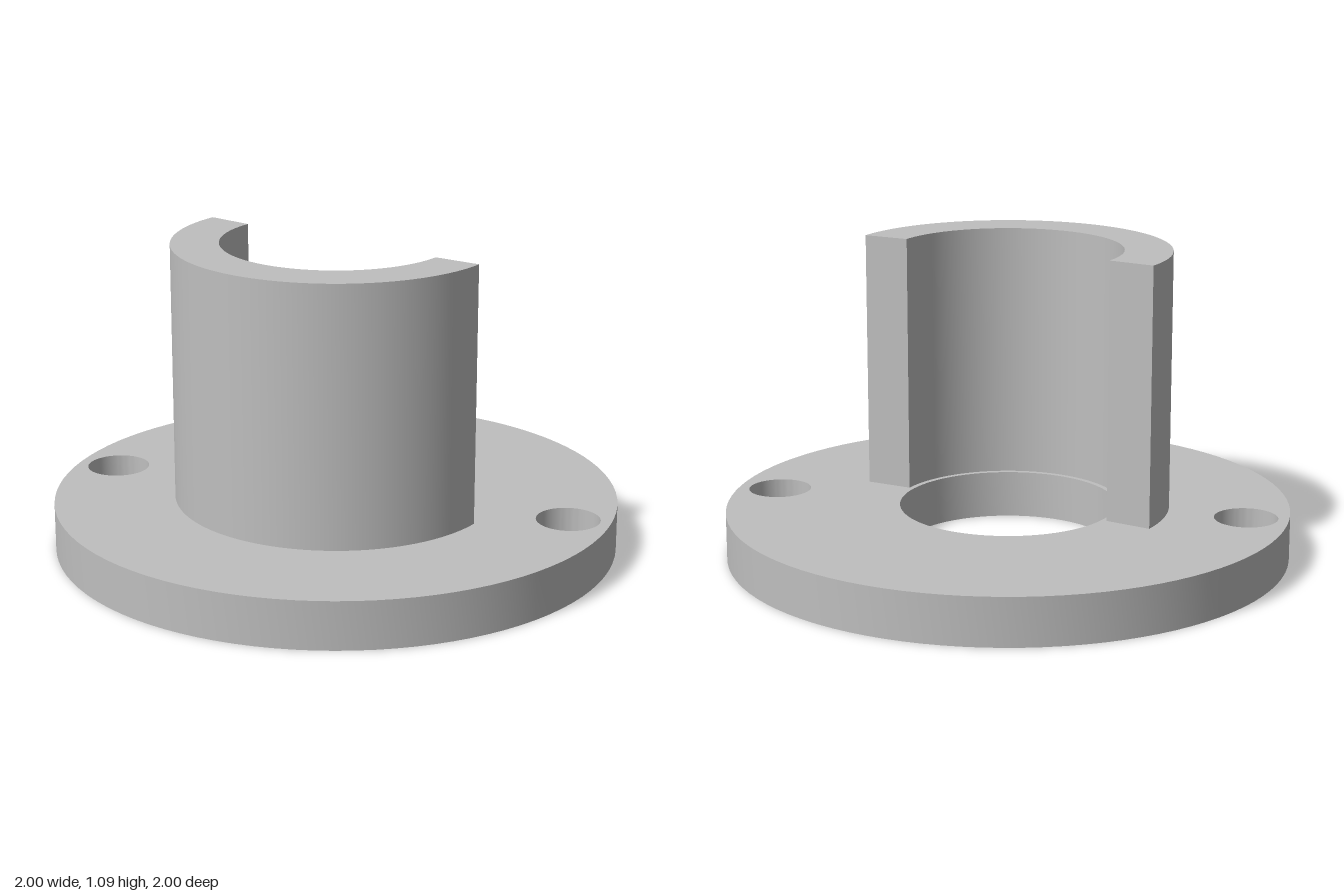
import * as THREE from 'three';
import { toCreasedNormals } from 'three/addons/utils/BufferGeometryUtils.js';

const SEGMENTS = 96;
const FLANGE_TOP = 0.17, FLANGE_RADIUS = 1, BORE_RADIUS = 0.385;
const SLEEVE_TOP = 1.09, SLEEVE_INNER = 0.404, SLEEVE_OUTER = 0.573;
const SCREW_X = 0.85, SCREW_RADIUS = 0.05, RECESS_RADIUS = 0.112, RECESS_FLOOR = 0.055;

export function createModel() {
  const model = new THREE.Group();
  model.name = 'flangedHalfSleeve';
  const grey = new THREE.MeshStandardMaterial({ color: 0xbfbfbf });
  grey.name = 'plain grey';

  const add = (parent, name, geometry, x = 0, y = 0) => {
    const mesh = new THREE.Mesh(geometry, grey);
    mesh.name = name;
    mesh.position.set(x, y, 0);
    parent.add(mesh);
  };

  // Walls turned from a profile: rising profiles face out, falling ones face in
  const turned = (...points) => toCreasedNormals(
    new THREE.LatheGeometry(points.map(([r, y]) => new THREE.Vector2(r, y)), SEGMENTS), Math.PI / 6);

  // Flat flange face with the bore and two screw holes
  const flangeFace = (screwRadius) => {
    const shape = new THREE.Shape().absarc(0, 0, FLANGE_RADIUS, 0, Math.PI * 2);
    for (const [x, r] of [[0, BORE_RADIUS], [-SCREW_X, screwRadius], [SCREW_X, screwRadius]]) {
      shape.holes.push(new THREE.Path().absarc(x, 0, r, 0, Math.PI * 2));
    }
    return new THREE.ShapeGeometry(shape, SEGMENTS / 2);
  };

  // Flange
  const flange = new THREE.Group();
  flange.name = 'flange';
  model.add(flange);
  add(flange, 'flangeTop', flangeFace(RECESS_RADIUS).rotateX(-Math.PI / 2), 0, FLANGE_TOP);
  add(flange, 'flangeBottom', flangeFace(SCREW_RADIUS).rotateX(Math.PI / 2));
  add(flange, 'flangeRim', turned([FLANGE_RADIUS, 0], [FLANGE_RADIUS, FLANGE_TOP]));
  add(flange, 'boreWall', turned([BORE_RADIUS, FLANGE_TOP], [BORE_RADIUS, 0]));

  // Counterbored screw holes
  for (const [name, side] of [['leftScrewHole', 1], ['rightScrewHole', -1]]) {
    add(flange, name, turned([RECESS_RADIUS, FLANGE_TOP], [RECESS_RADIUS, RECESS_FLOOR],
      [SCREW_RADIUS, RECESS_FLOOR], [SCREW_RADIUS, 0]), side * SCREW_X);
  }

  // Upright sleeve, open at the back
  const start = THREE.MathUtils.degToRad(-15), end = THREE.MathUtils.degToRad(-200);
  const section = new THREE.Shape();
  section.absarc(0, 0, SLEEVE_OUTER, start, end, true);
  section.absarc(0, 0, SLEEVE_INNER, end, start, false);
  const sleeve = new THREE.ExtrudeGeometry(section, {
    depth: SLEEVE_TOP - FLANGE_TOP, bevelEnabled: false, curveSegments: SEGMENTS / 2,
  }).rotateX(-Math.PI / 2);
  add(model, 'sleeve', toCreasedNormals(sleeve, Math.PI / 6), 0, FLANGE_TOP);

  return model;
}
